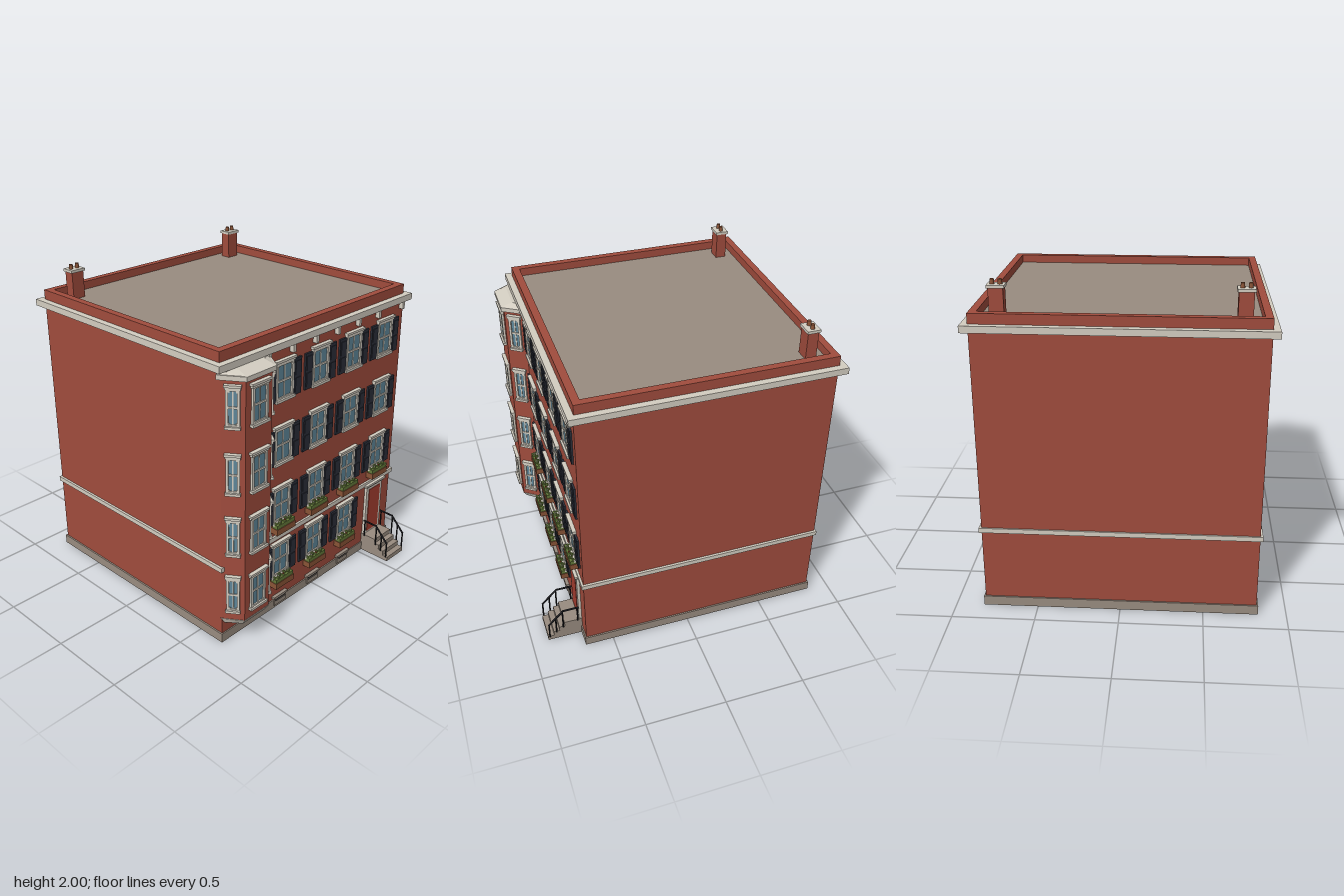
import * as THREE from 'three';

const mat = (name, color) => {
  const m = new THREE.MeshStandardMaterial({ color });
  m.name = name;
  return m;
};

export function createModel() {
  const brick = mat('brick red', 0xa04c3d);
  const cream = mat('cream trim', 0xd3cdc1);
  const stone = mat('grey stone', 0x998c80);
  const glass = mat('window blue', 0x5f879a);
  const navy = mat('shutter navy', 0x2b2f3a);
  const wood = mat('planter brown', 0x8a5437);
  const leaf = mat('leaf green', 0x64793a);
  const iron = mat('black iron', 0x1b1b1f);
  const red = mat('door red', 0xa53e30);

  const model = new THREE.Group();
  const group = (name, parent = model) => {
    const g = new THREE.Group();
    g.name = name;
    parent.add(g);
    return g;
  };
  const add = (parent, name, geo, material) => {
    const m = new THREE.Mesh(geo, material);
    m.name = name;
    parent.add(m);
    return m;
  };
  // Box given by its limits on each axis
  const box = (parent, name, material, x0, x1, y0, y1, z0, z1) => {
    const m = add(parent, name, new THREE.BoxGeometry(x1 - x0, y1 - y0, z1 - z0), material);
    m.position.set((x0 + x1) / 2, (y0 + y1) / 2, (z0 + z1) / 2);
    return m;
  };
  // Vertical prism from plan points [x, z]
  const prism = (pts, y0, y1, hole) => {
    const toV = ([x, z]) => new THREE.Vector2(x, -z);
    const s = new THREE.Shape(pts.map(toV));
    if (hole) s.holes.push(new THREE.Path(hole.map(toV)));
    return new THREE.ExtrudeGeometry(s, { depth: y1 - y0, bevelEnabled: false })
      .rotateX(-Math.PI / 2).translate(0, y0, 0);
  };
  const rect = (x, z0, z1) => [[-x, z0], [-x, z1], [x, z1], [x, z0]];
  const WALL = 0.672;

  // Main block
  box(model, 'plinth', stone, -0.83, 0.83, 0, 0.06, -0.862, 0.68);
  box(model, 'walls', brick, -0.82, 0.82, 0.05, 1.76, -0.852, WALL);
  box(model, 'stringCourse', cream, -0.835, 0.835, 0.5, 0.53, -0.862, 0.685);
  box(model, 'cornice', cream, -0.86, 0.86, 1.74, 1.78, -0.895, 0.708);
  add(model, 'parapet', prism(rect(0.82, -0.855, 0.668), 1.77, 1.84, rect(0.776, -0.812, 0.622)), brick);
  box(model, 'roof', stone, -0.78, 0.78, 1.77, 1.79, -0.815, 0.625);
  const brackets = group('corniceBrackets');
  for (const x of [-0.79, -0.66, -0.46, -0.26, -0.06, 0.14, 0.34, 0.54, 0.79])
    box(brackets, 'bracket', cream, x - 0.01, x + 0.01, 1.69, 1.745, 0.66, 0.7);

  // Chimneys
  for (const sx of [-1, 1]) {
    const g = group('chimney');
    g.position.set(sx * 0.677, 0, -0.725);
    box(g, 'stack', brick, -0.042, 0.042, 1.78, 1.955, -0.033, 0.033);
    box(g, 'chimneyCap', cream, -0.05, 0.05, 1.955, 1.972, -0.04, 0.04);
    for (const px of [-0.022, 0.022]) {
      const pot = add(g, 'chimneyPot', new THREE.CylinderGeometry(0.011, 0.013, 0.03, 12), wood);
      pot.position.set(px, 1.985, 0);
    }
  }

  // Bay
  const BX = -0.64;
  const bayPlan = (o) => [
    [BX - 0.18 - o, 0.66], [BX - 0.18 - o, WALL], [BX - 0.103 - o * 0.6, 0.783 + o],
    [BX + 0.103 + o * 0.6, 0.783 + o], [BX + 0.18 + o, WALL], [BX + 0.18 + o, 0.66],
  ];
  // Pull one end of a bay prism in towards the wall
  const taper = (geo, y, kx, kz) => {
    const p = geo.attributes.position;
    for (let i = 0; i < p.count; i++) if (Math.abs(p.getY(i) - y) < 1e-4) {
      p.setX(i, BX + (p.getX(i) - BX) * kx);
      p.setZ(i, 0.66 + (p.getZ(i) - 0.66) * kz);
    }
    geo.computeVertexNormals();
    return geo;
  };
  const bay = group('bay');
  add(bay, 'bayWalls', prism(bayPlan(0), 0.17, 1.695), brick);
  add(bay, 'bayFoot', taper(prism(bayPlan(0.003), 0.13, 0.17), 0.13, 0.9, 0.8), cream);
  add(bay, 'bayCornice', prism(bayPlan(0.02), 1.692, 1.72), cream);
  add(bay, 'bayRoof', taper(prism(bayPlan(0.012), 1.72, 1.738), 1.738, 0.92, 0.5), cream);

  // Sash window: local origin at the middle of the sill, outward is +z
  const sash = (parent, w, trim) => {
    const g = group('window', parent);
    const a = w / 2, f = 0.015, h = 0.222, mid = 0.115;
    box(g, 'glass', glass, -a + f, a - f, 0.01, h - 0.005, 0, 0.004);
    for (const s of [-1, 1]) {
      const c = s * (a - f / 2);
      box(g, 'jamb', cream, c - f / 2, c + f / 2, 0, h, 0, 0.014);
      // Small corner blocks at the head and foot of the sash
      const k = s * (a - f - 0.003);
      for (const y of [0.02, h - 0.018]) box(g, 'cornerBlock', cream, k - 0.004, k + 0.004, y - 0.004, y + 0.004, 0, 0.009);
    }
    box(g, 'head', cream, -a, a, h - 0.012, h, 0, 0.014);
    box(g, 'bottomRail', cream, -a, a, 0, 0.018, 0, 0.012);
    box(g, 'meetingRail', cream, -a + f, a - f, mid - 0.006, mid + 0.006, 0, 0.01);
    box(g, 'glazingBar', cream, -0.004, 0.004, 0.01, h, 0, 0.008);
    box(g, 'sill', cream, -a - trim * 0.6, a + trim * 0.6, -0.008, 0.008, 0, 0.024);
    box(g, 'lintel', cream, -a - trim * 0.6, a + trim * 0.6, h - 0.004, h + 0.012, 0, 0.018);
    box(g, 'lintelCap', cream, -a - trim, a + trim, h + 0.01, h + 0.024, 0, 0.024);
    return g;
  };

  // Planter with leaves and blossoms
  const planter = (parent) => {
    const g = group('planter', parent);
    box(g, 'trough', wood, -0.082, 0.082, -0.062, -0.022, 0, 0.052);
    box(g, 'foliage', leaf, -0.078, 0.078, -0.024, 0.004, 0.006, 0.048);
    for (let i = 0; i < 7; i++) {
      const x = -0.066 + i * 0.022, y = 0.004 + (i % 3) * 0.005;
      const b = add(g, 'leafClump', new THREE.IcosahedronGeometry(0.013, 0), leaf);
      b.position.set(x, y - 0.003, 0.022 + (i % 2) * 0.012);
      if (i % 2) {
        const c = add(g, 'blossom', new THREE.IcosahedronGeometry(0.006, 0), i % 4 === 1 ? cream : red);
        c.position.set(x, y + 0.01, 0.036);
      }
    }
  };

  const sills = [0.235, 0.625, 1.02, 1.422];
  const columns = [-0.318, -0.002, 0.314, 0.63];
  sills.forEach((y, row) => {
    // Bay windows, one on each of the three faces
    const angle = Math.atan2(0.111, 0.077);
    for (const s of [-1, 0, 1]) {
      const w = sash(bay, s ? 0.078 : 0.122, s ? 0.008 : 0.014);
      w.position.set(BX + s * 0.1415, y, s ? 0.7275 : 0.783);
      w.rotation.y = s * angle;
    }
    // Wall windows with shutters
    columns.forEach((x, col) => {
      if (row === 0 && col === 3) return;
      const g = group('shutteredWindow');
      g.position.set(x, y, WALL);
      sash(g, 0.145, 0.014);
      for (const s of [-1, 1]) {
        const c = s * 0.109;
        box(g, 'shutter', navy, c - 0.032, c + 0.032, -0.004, 0.22, 0, 0.012);
        for (const py of [0.058, 0.16])
          box(g, 'shutterPanel', navy, c - 0.022, c + 0.022, py - 0.042, py + 0.042, 0.01, 0.016);
      }
      if (row < 2) planter(g);
    });
  });

  // Basement vents
  for (const x of columns.slice(0, 3)) {
    const g = group('basementVent');
    g.position.set(x, 0, 0.67);
    box(g, 'ventSurround', stone, -0.055, 0.055, 0.02, 0.075, 0, 0.018);
    box(g, 'ventLintel', stone, -0.063, 0.063, 0.072, 0.086, 0, 0.024);
    box(g, 'ventOpening', iron, -0.043, 0.043, 0.05, 0.07, 0.01, 0.02);
    box(g, 'ventBar', stone, -0.043, 0.043, 0.057, 0.061, 0.01, 0.023);
  }

  // Door
  const door = group('door');
  door.position.set(0.63, 0, WALL);
  box(door, 'doorFrame', cream, -0.085, 0.085, 0.12, 0.49, 0, 0.018);
  box(door, 'doorLeaf', red, -0.06, 0.06, 0.14, 0.465, 0.01, 0.022);
  box(door, 'doorLintel', cream, -0.095, 0.095, 0.485, 0.5, 0, 0.024);
  box(door, 'doorHood', cream, -0.103, 0.103, 0.498, 0.512, 0, 0.032);

  // Steps
  const steps = group('steps');
  [0.785, 0.82, 0.857, 0.895].forEach((z, i) => {
    const top = 0.125 - i * 0.0312;
    box(steps, 'step', stone, 0.54, 0.72, i === 3 ? 0 : top - 0.0312, top, 0.66, z);
  });

  // Handrails
  const rod = (parent, name, a, b, r) => {
    const va = new THREE.Vector3(...a), d = new THREE.Vector3(...b).sub(va);
    const m = add(parent, name, new THREE.CylinderGeometry(r, r, d.length(), 8), iron);
    m.position.copy(va).addScaledVector(d, 0.5);
    m.quaternion.setFromUnitVectors(new THREE.Vector3(0, 1, 0), d.normalize());
  };
  for (const x of [0.537, 0.723]) {
    const g = group('handrail');
    rod(g, 'slopingRail', [x, 0.135, 0.887], [x, 0.236, 0.79], 0.006);
    rod(g, 'levelRail', [x, 0.236, 0.792], [x, 0.236, 0.69], 0.006);
    for (const [z, y0, y1] of [[0.885, 0.03, 0.138], [0.84, 0.06, 0.184], [0.795, 0.09, 0.232], [0.7, 0.12, 0.236]])
      rod(g, 'post', [x, y0, z], [x, y1, z], 0.005);
  }
  return model;
}
